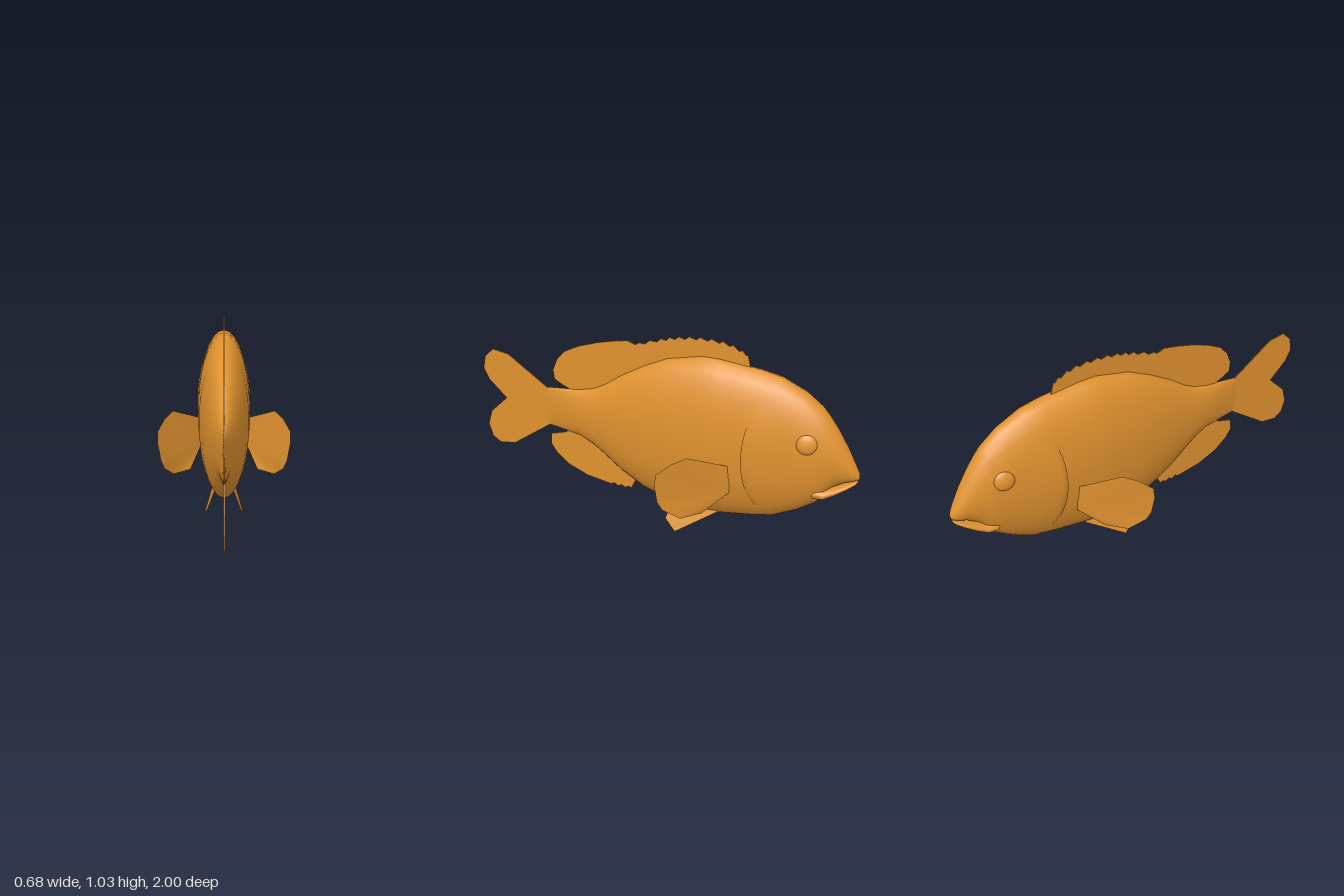
import * as THREE from 'three';

const scaleOrange = new THREE.MeshStandardMaterial({ color: 0xe0922f, side: THREE.DoubleSide });
scaleOrange.name = 'scaleOrange';

// Body stations: z, top, bottom, half width
const BODY = [
  [-1.0, 0.468, 0.455, 0.004], [-0.995, 0.485, 0.448, 0.018], [-0.97, 0.53, 0.436, 0.038],
  [-0.93, 0.605, 0.42, 0.056], [-0.88, 0.685, 0.385, 0.074], [-0.835, 0.745, 0.315, 0.09],
  [-0.8, 0.785, 0.283, 0.099], [-0.72, 0.845, 0.227, 0.114], [-0.6, 0.9, 0.167, 0.128],
  [-0.5, 0.92, 0.146, 0.134], [-0.31, 0.94, 0.115, 0.137], [-0.22, 0.942, 0.107, 0.136],
  [-0.04, 0.902, 0.138, 0.126], [0.08, 0.845, 0.175, 0.109], [0.2, 0.775, 0.24, 0.086],
  [0.3, 0.705, 0.315, 0.065], [0.36, 0.675, 0.357, 0.053], [0.44, 0.654, 0.395, 0.039],
  [0.53, 0.645, 0.407, 0.022], [0.62, 0.636, 0.42, 0.007], [0.64, 0.63, 0.425, 0.001],
];
// Lower jaw stations, same layout
const JAW = [
  [-0.995, 0.446, 0.432, 0.006], [-0.985, 0.443, 0.42, 0.024], [-0.95, 0.428, 0.392, 0.044],
  [-0.9, 0.408, 0.356, 0.062], [-0.85, 0.39, 0.327, 0.076], [-0.8, 0.4, 0.318, 0.078],
];
const ANGLES = [0, 14, 27, 39, 50, 60, 70, 83, 97, 110, 120, 130, 141, 153, 166];
const RING = [...ANGLES, ...ANGLES.map(a => a + 180)];

function mesh(name, geometry) {
  const m = new THREE.Mesh(geometry, scaleOrange);
  m.name = name;
  return m;
}

// Point on a station's ellipse; 0 degrees is the top, 90 is the left side
function ringPoint([z, top, bottom, w], deg, lift = 0) {
  const t = THREE.MathUtils.degToRad(deg);
  return [(w + lift) * Math.sin(t), (top + bottom) / 2 + (top - bottom) / 2 * Math.cos(t), z];
}

function stationAt(z) {
  const i = Math.max(1, BODY.findIndex(s => s[0] >= z));
  const a = BODY[i - 1], b = BODY[i], f = (z - a[0]) / (b[0] - a[0]);
  return a.map((v, k) => v + (b[k] - v) * f);
}

// Smooth skin over rows of points
function skin(rows, closed) {
  const n = rows[0].length, index = [];
  for (let i = 0; i < rows.length - 1; i++) {
    for (let j = 0; j < (closed ? n : n - 1); j++) {
      const k = (j + 1) % n;
      const a = i * n + j, b = i * n + k, c = a + n, d = b + n;
      index.push(a, c, b, b, c, d);
    }
  }
  const g = new THREE.BufferGeometry();
  g.setAttribute('position', new THREE.Float32BufferAttribute(rows.flat(2), 3));
  g.setIndex(index);
  g.computeVertexNormals();
  return g;
}

const loft = stations => skin(stations.map(s => RING.map(a => ringPoint(s, a))), true);

// Thin upright fin on the centre line, outlined in (z, y)
function midFin(name, outline) {
  const shape = new THREE.Shape(outline.map(([z, y]) => new THREE.Vector2(-z, y)));
  const g = new THREE.ExtrudeGeometry(shape, { depth: 0.005, bevelEnabled: false });
  g.translate(0, 0, -0.0025);
  g.rotateY(Math.PI / 2);
  return mesh(name, g);
}

// Single-sheet side fin from a ring of 3D points
function sideFin(name, points) {
  const index = [];
  for (let i = 1; i < points.length - 1; i++) index.push(0, i, i + 1);
  const g = new THREE.BufferGeometry();
  g.setAttribute('position', new THREE.Float32BufferAttribute(points.flat(), 3));
  g.setIndex(index);
  g.computeVertexNormals();
  return mesh(name, g);
}

// Raised gill cover, standing proud at its curved rear edge
function gillCover() {
  const rows = [];
  for (let i = 0; i <= 8; i++) {
    const row = [];
    for (let j = 0; j <= 14; j++) {
      const v = j / 7 - 1, u = i / 8;
      const rear = -0.465 - 0.08 * v * v;
      const z = -0.7 + (rear + 0.7) * u;
      const lift = -0.003 + 0.012 * u * (1 - v * v);
      row.push(ringPoint(stationAt(z), 92 + v * 50, lift));
    }
    rows.push(row);
  }
  // Short rim turning back into the body
  rows.push(rows[8].map(([x, y, z]) => [x - 0.014, y, z + 0.002]));
  return mesh('gillCover', skin(rows, false));
}

function sideParts(name) {
  const side = new THREE.Group();
  side.name = name;

  const eye = mesh('eye', new THREE.SphereGeometry(0.05, 20, 14));
  eye.scale.set(0.45, 1, 1);
  eye.position.set(0.093, 0.63, -0.76);
  eye.rotation.set(0, 0.22, 0.2);

  const pectoral = sideFin('pectoralFin', [
    [0.12, 0.31, -0.41], [0.125, 0.455, -0.41], [0.265, 0.537, -0.245], [0.305, 0.512, -0.185],
    [0.34, 0.46, -0.12], [0.34, 0.4, -0.113], [0.325, 0.305, -0.12], [0.308, 0.255, -0.14],
    [0.265, 0.2, -0.215], [0.18, 0.2, -0.295],
  ]);
  const pelvic = sideFin('pelvicFin', [
    [0.035, 0.18, -0.33], [0.05, 0.14, -0.33], [0.105, 0.005, -0.125],
    [0.085, 0.06, -0.065], [0.045, 0.16, -0.095], [0.03, 0.19, -0.12],
  ]);
  side.add(eye, gillCover(), pectoral, pelvic);
  return side;
}

export function createModel() {
  const fish = new THREE.Group();
  fish.name = 'fish';
  fish.add(mesh('body', loft(BODY)), mesh('lowerJaw', loft(JAW)));

  // Forked tail
  fish.add(midFin('tailFin', [
    [0.58, 0.62], [0.625, 0.633], [0.845, 0.783], [0.935, 0.797], [0.985, 0.75], [1, 0.68],
    [0.97, 0.62], [0.875, 0.53], [0.975, 0.435], [1, 0.355], [0.98, 0.285], [0.935, 0.255],
    [0.845, 0.267], [0.625, 0.42], [0.58, 0.43],
  ]));

  // Dorsal fin: soft rear lobe, then a row of small spines
  const crest = new THREE.SplineCurve([
    [0.12, 0.955], [0, 0.995], [-0.1, 1.02], [-0.22, 1.033], [-0.34, 1.025], [-0.43, 0.99],
  ].map(p => new THREE.Vector2(...p)));
  const spines = [];
  for (let i = 0; i < 11; i++) {
    const peak = crest.getPoint((i + 0.3) / 11), dip = crest.getPoint((i + 0.95) / 11);
    spines.push([peak.x, peak.y], [dip.x, dip.y - 0.014]);
  }
  fish.add(midFin('dorsalFin', [
    [0.4, 0.62], [0.5, 0.65], [0.535, 0.665], [0.58, 0.69], [0.585, 0.74], [0.56, 0.8],
    [0.515, 0.85], [0.435, 0.89], [0.33, 0.925], [0.25, 0.945], [0.17, 0.96], [0.125, 0.945],
    ...spines, [-0.437, 0.983], [-0.455, 0.91], [-0.45, 0.87], [-0.2, 0.9], [0, 0.84], [0.2, 0.72],
  ]));

  // Anal fin
  fish.add(midFin('analFin', [
    [0.35, 0.43], [0.5, 0.42], [0.53, 0.395], [0.615, 0.37], [0.62, 0.31], [0.59, 0.265],
    [0.52, 0.207], [0.41, 0.162], [0.275, 0.14], [0.255, 0.15], [0.235, 0.137], [0.215, 0.148],
    [0.195, 0.137], [0.175, 0.148], [0.16, 0.14], [0.13, 0.2], [0.1, 0.25], [0.2, 0.32],
  ]));

  // Paired parts, mirrored across the centre line
  for (const s of [1, -1]) {
    const side = sideParts(s > 0 ? 'leftSide' : 'rightSide');
    side.scale.x = s;
    fish.add(side);
  }
  return fish;
}
